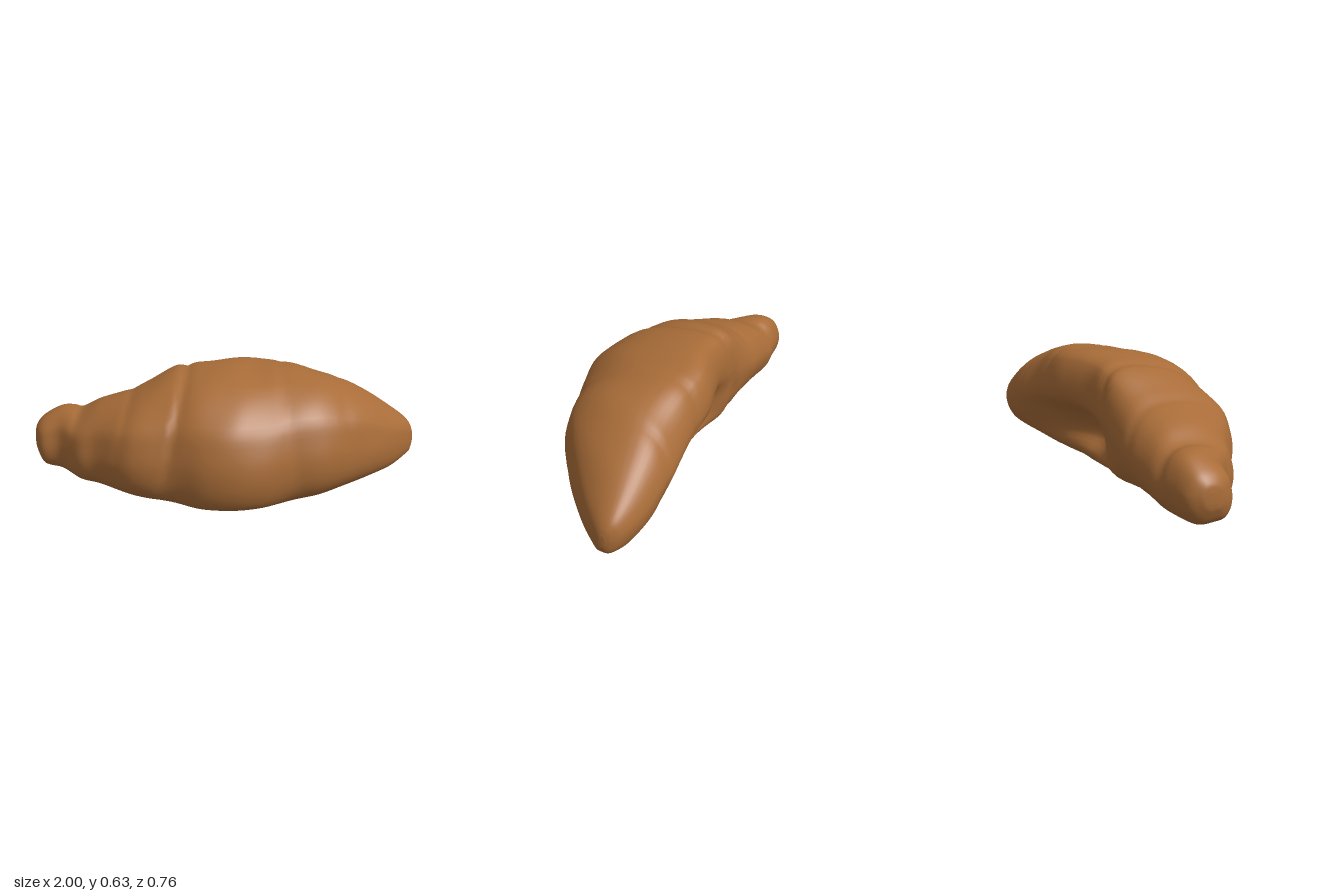
import * as THREE from 'three';

// Sections along the roll: x, bottom, top, back z, front z
const SECTIONS = [
  [-1.0, 0.17, 0.22, -0.24, -0.2],
  [-0.99, 0.13, 0.26, -0.275, -0.15],
  [-0.945, 0.065, 0.305, -0.32, -0.085],
  [-0.85, 0.045, 0.35, -0.335, -0.055],
  [-0.74, 0.03, 0.36, -0.35, 0.07],
  [-0.64, 0.025, 0.41, -0.345, 0.125],
  [-0.5, 0.02, 0.46, -0.345, 0.24],
  [-0.4, 0.015, 0.51, -0.335, 0.28],
  [-0.25, 0.01, 0.585, -0.325, 0.295],
  [-0.1, 0.005, 0.61, -0.315, 0.36],
  [0.05, 0.005, 0.62, -0.34, 0.378],
  [0.18, 0.005, 0.61, -0.375, 0.35],
  [0.33, 0.005, 0.595, -0.375, 0.285],
  [0.48, 0.01, 0.56, -0.38, 0.245],
  [0.62, 0.03, 0.505, -0.38, 0.16],
  [0.75, 0.045, 0.435, -0.37, 0.055],
  [0.87, 0.06, 0.35, -0.345, -0.06],
  [0.95, 0.09, 0.29, -0.315, -0.15],
  [0.985, 0.11, 0.25, -0.285, -0.195],
  [1.0, 0.15, 0.21, -0.255, -0.225],
];

// Slanted seams between the dough layers: x, slant, depth
const SEAMS = [[-0.84, 0.08, 0.04], [-0.6, 0.12, 0.02], [-0.33, 0.13, 0.05],
  [0.38, -0.1, 0.015], [0.68, -0.1, 0.015]];

const RINGS = 120, AROUND = 56;
const { smoothstep } = THREE.MathUtils;

// Closed outline, u from back to front and v from bottom to top;
// h deepens the inner hollow, c slopes the lower back edge, r rounds the arms
function outline(h, c, r) {
  const points = [
    [0.9 - 0.06 * r, 0.01 + 0.02 * r], [0.97 - 0.01 * r, 0.12 + 0.05 * r],
    [1, 0.33 + 0.06 * r], [0.97, 0.52 + 0.08 * r], [0.89, 0.71 + 0.1 * r],
    [0.62, 0.93 + 0.05 * r], [0.18 + 0.1 * r, 1], [0.05 + 0.06 * r, 0.93 - 0.04 * r], [0, 0.62],
    [0.01 + 0.24 * h, 0.42], [0.03 + 0.04 * c + 0.28 * h, 0.25],
    [0.09 + 0.08 * c + 0.1 * h, 0.11], [0.25 + 0.08 * c, 0.01], [0.6, 0],
  ].map(([u, v]) => new THREE.Vector3(u, v, 0));
  return new THREE.CatmullRomCurve3(points, true, 'centripetal').getPoints(AROUND).slice(0, AROUND);
}

function pastryGeometry() {
  const uniform = (pick) => new THREE.CatmullRomCurve3(SECTIONS.map(pick), false, 'catmullrom', 0.5);
  const heights = uniform(([x, y0, y1]) => new THREE.Vector3(x, y0, y1));
  const depths = uniform(([x, , , z0, z1]) => new THREE.Vector3(x, z0, z1));
  const pos = [], index = [];

  for (let i = 0; i <= RINGS; i++) {
    const { x, y: y0, z: y1 } = heights.getPoint(i / RINGS);
    const { y: z0, z: z1 } = depths.getPoint(i / RINGS);
    // Deep notch in the middle, with a shallow trough running along the left arm
    const h = 0.65 * Math.exp(-(((x - 0.08) / 0.2) ** 2)) + 0.45 * Math.exp(-(((x - 0.28) / 0.28) ** 2));
    const c = smoothstep(Math.abs(x + 0.1), 0.1, 0.4);
    const r = smoothstep(Math.abs(x), 0.15, 0.55);
    outline(h, c, r).forEach(({ x: u, y: v }) => {
      // Pinch the surface toward the core along each seam
      let shrink = 1;
      for (const [at, slant, depth] of SEAMS) {
        const d = x - at - slant * v;
        shrink -= depth * Math.exp(-((d / (d < 0 ? 0.015 : 0.04)) ** 2)) * Math.min(1, v * 2);
      }
      // Gentle uneven baked surface
      shrink += 0.012 * Math.sin(9 * x + 7 * u) * Math.sin(13 * x - 6 * v) * Math.min(1, v * 3);
      const cu = 0.5, cv = 0.45;
      pos.push(x,
        y0 + (y1 - y0) * (cv + (v - cv) * shrink),
        z0 + (z1 - z0) * (cu + (u - cu) * shrink));
    });
  }

  for (let i = 0; i < RINGS; i++) {
    for (let j = 0; j < AROUND; j++) {
      const k = (j + 1) % AROUND;
      const a = i * AROUND + j, d = i * AROUND + k;
      const b = a + AROUND, e = d + AROUND;
      index.push(a, b, e, a, e, d);
    }
  }

  // Close both tips
  for (const ring of [0, RINGS]) {
    const s = SECTIONS[ring ? SECTIONS.length - 1 : 0];
    const centre = pos.length / 3;
    pos.push(s[0], (s[1] + s[2]) / 2, (s[3] + s[4]) / 2);
    for (let j = 0; j < AROUND; j++) {
      const a = ring * AROUND + j, b = ring * AROUND + (j + 1) % AROUND;
      if (ring) index.push(centre, b, a);
      else index.push(centre, a, b);
    }
  }

  const geometry = new THREE.BufferGeometry();
  geometry.setAttribute('position', new THREE.Float32BufferAttribute(pos, 3));
  geometry.setIndex(index);
  geometry.computeVertexNormals();
  return geometry;
}

export function createModel() {
  const crust = new THREE.MeshStandardMaterial({ color: 0xa86c38 });
  crust.name = 'golden brown crust';
  const pastry = new THREE.Mesh(pastryGeometry(), crust);
  pastry.name = 'crescentPastry';
  const group = new THREE.Group();
  group.name = 'croissant';
  group.add(pastry);
  return group;
}
